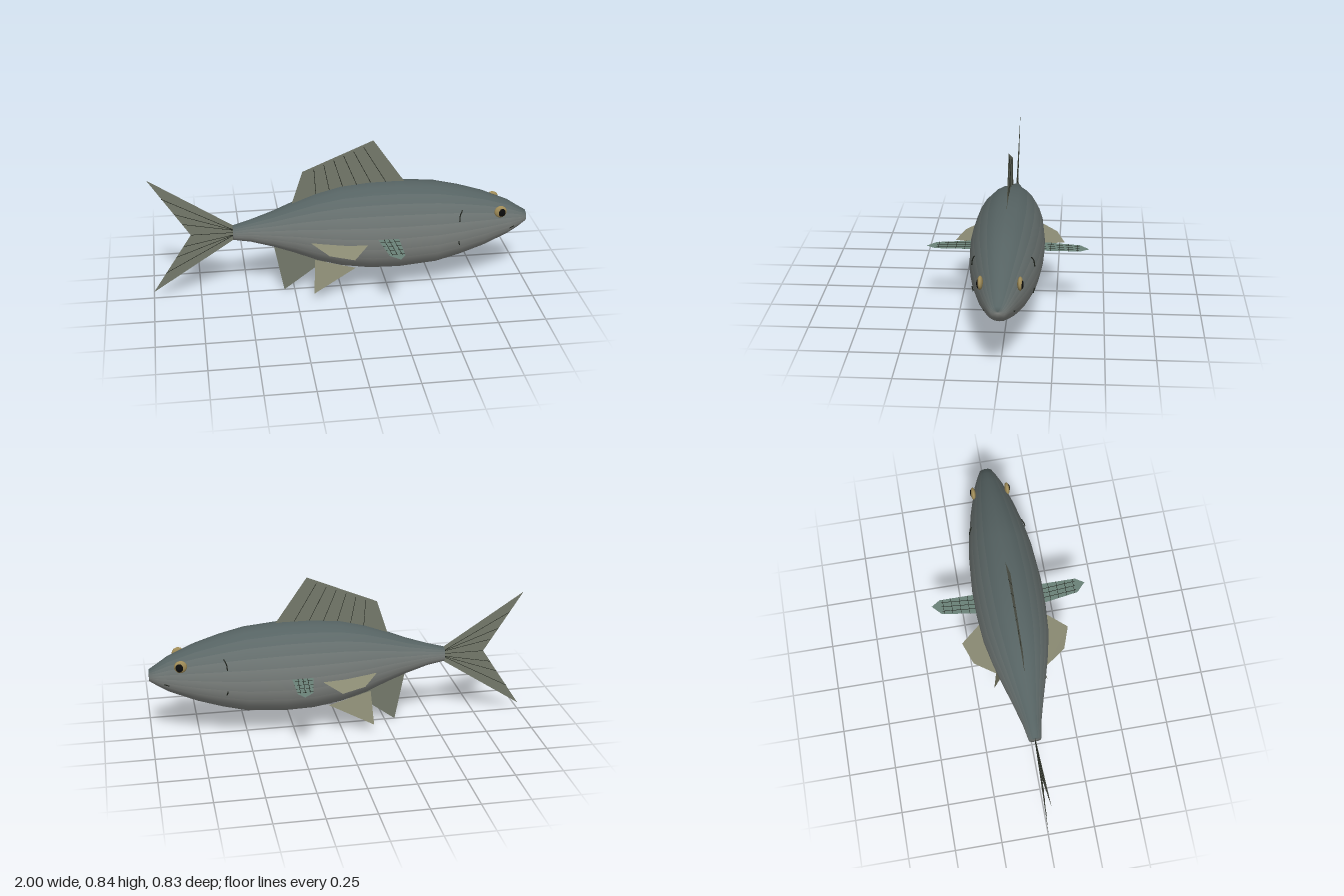
import * as THREE from 'three';

const FIN = 0x74796a, TAN = 0x8b8b74, TEAL = 0x6b8279, DARK = 0x22261f;
const V = (p) => new THREE.Vector3(...p);
const mat = (color, side = THREE.FrontSide) => new THREE.MeshStandardMaterial({ color, side });

// Body sections: x, top y, bottom y, half width
const SECTIONS = [
  [-0.57, 0.40, 0.32, 0.033], [-0.48, 0.425, 0.305, 0.05], [-0.36, 0.465, 0.27, 0.083],
  [-0.25, 0.51, 0.23, 0.115], [-0.13, 0.555, 0.18, 0.148], [0, 0.588, 0.142, 0.175],
  [0.15, 0.602, 0.119, 0.187], [0.3, 0.603, 0.115, 0.189], [0.5, 0.585, 0.13, 0.174],
  [0.63, 0.555, 0.163, 0.152], [0.76, 0.515, 0.205, 0.122], [0.9, 0.455, 0.265, 0.08],
  [0.96, 0.415, 0.302, 0.055], [1, 0.39, 0.33, 0.034],
];

// Lofted body, each lengthwise strip shaded from dark back to pale belly
function makeBody() {
  const N = 24, pos = [], index = [], materials = [];
  const geo = new THREE.BufferGeometry();
  for (const [x, top, bottom, w] of SECTIONS) {
    for (let j = 0; j < N; j++) {
      const a = (j / N) * Math.PI * 2;
      pos.push(x, (top + bottom) / 2 + (top - bottom) / 2 * Math.sin(a), w * Math.cos(a));
    }
  }
  const last = SECTIONS.length - 1, tail = SECTIONS.length * N, nose = tail + 1;
  pos.push(-0.57, 0.36, 0, 1, 0.36, 0);
  const back = new THREE.Color(0x566363), belly = new THREE.Color(0x8d908c);
  for (let j = 0; j < N; j++) {
    const k = (j + 1) % N, start = index.length;
    for (let i = 0; i < last; i++) {
      const a = i * N + j, b = i * N + k;
      index.push(a, a + N, b, b, a + N, b + N);
    }
    index.push(tail, j, k, nose, last * N + k, last * N + j);
    geo.addGroup(start, index.length - start, j);
    const height = Math.sin(((j + 0.5) / N) * Math.PI * 2);
    const t = THREE.MathUtils.clamp(0.6 - height * 0.65, 0, 1);
    materials.push(mat(back.clone().lerp(belly, t)));
  }
  geo.setAttribute('position', new THREE.Float32BufferAttribute(pos, 3));
  geo.setIndex(index);
  geo.computeVertexNormals();
  const mesh = new THREE.Mesh(geo, materials);
  mesh.name = 'body';
  return mesh;
}

// Thin flat membrane, fanned from its first corner
function membrane(name, points, color) {
  const pos = [];
  for (let i = 1; i < points.length - 1; i++) pos.push(...points[0], ...points[i], ...points[i + 1]);
  const geo = new THREE.BufferGeometry();
  geo.setAttribute('position', new THREE.Float32BufferAttribute(pos, 3));
  geo.computeVertexNormals();
  const mesh = new THREE.Mesh(geo, mat(color, THREE.DoubleSide));
  mesh.name = name;
  return mesh;
}

// Slim rod between two points
function rod(name, from, to, radius = 0.002, color = DARK) {
  const a = V(from), b = V(to), dir = b.clone().sub(a);
  const mesh = new THREE.Mesh(new THREE.CylinderGeometry(radius, radius, dir.length(), 5), mat(color));
  mesh.position.copy(a).add(b).multiplyScalar(0.5);
  mesh.quaternion.setFromUnitVectors(new THREE.Vector3(0, 1, 0), dir.normalize());
  mesh.name = name;
  return mesh;
}

function curveLine(name, points) {
  const mesh = new THREE.Mesh(
    new THREE.TubeGeometry(new THREE.CatmullRomCurve3(points.map(V)), 8, 0.003, 5), mat(DARK));
  mesh.name = name;
  return mesh;
}

function ball(name, radius, position, scale, color) {
  const mesh = new THREE.Mesh(new THREE.SphereGeometry(radius, 20, 14), mat(color));
  mesh.position.set(...position);
  mesh.scale.set(...scale);
  mesh.name = name;
  return mesh;
}

export function createModel() {
  const fish = new THREE.Group();
  fish.name = 'fish';
  fish.add(makeBody());

  // Dorsal fin with fanned rays
  const dorsal = new THREE.Group();
  dorsal.name = 'dorsalFin';
  dorsal.add(membrane('dorsalMembrane',
    [[-0.26, 0.50, 0], [-0.2, 0.685, 0], [0.17, 0.84, 0], [0.34, 0.595, 0], [0, 0.57, 0]], FIN));
  for (let i = 0; i < 6; i++) {
    const t = i / 5, x = -0.14 + 0.26 * t;
    dorsal.add(rod('dorsalRay', [-0.13 + 0.37 * t, 0.54 + 0.06 * t, 0], [x, 0.69 + 0.419 * (x + 0.2) - 0.02, 0], 0.0015));
  }
  fish.add(dorsal);

  // Forked tail
  const tail = new THREE.Group();
  tail.name = 'tailFin';
  tail.add(membrane('tailMembrane', [[-0.79, 0.36, 0], [-1, 0.685, 0], [-0.565, 0.40, 0],
    [-0.565, 0.32, 0], [-1, 0.035, 0]], FIN));
  tail.add(rod('tailRay', [-0.56, 0.36, 0], [-0.79, 0.36, 0], 0.0015));
  for (const s of [1, -1]) {
    for (const [x, dy] of [[-0.83, 0.065], [-0.87, 0.125], [-0.93, 0.215]]) {
      tail.add(rod('tailRay', [-0.56, 0.36 + s * 0.012, 0], [x, 0.36 + s * dy, 0], 0.0015));
    }
  }
  fish.add(tail);

  // Anal fin
  fish.add(membrane('analFin', [[-0.36, 0.28, 0], [-0.305, 0, 0], [-0.08, 0.165, 0]], FIN));

  // Paired fins and face, mirrored across the body
  for (const s of [1, -1]) {
    const side = new THREE.Group();
    side.name = s > 0 ? 'rightSideParts' : 'leftSideParts';
    const m = (points) => points.map(([x, y, z]) => [x, y, z * s]);

    side.add(membrane('pelvicFin', m([[-0.15, 0.22, 0.1], [-0.16, 0.045, 0.15], [0.07, 0.145, 0.078]]), TAN));
    side.add(membrane('sideFin', m([[-0.175, 0.337, 0.135], [-0.09, 0.312, 0.245], [0.035, 0.302, 0.288],
      [0.12, 0.327, 0.178]]), TAN));

    // Flat pectoral fin with rim and cross rays
    const rim = m([[0.17, 0.358, 0.18], [0.2, 0.358, 0.37], [0.25, 0.358, 0.417], [0.28, 0.358, 0.37], [0.28, 0.358, 0.18]]);
    side.add(membrane('pectoralFin', rim, TEAL));
    for (const x of [0.2, 0.225, 0.25]) {
      side.add(rod('pectoralRay', [x, 0.358, 0.18 * s], [x + 0.015, 0.358, 0.365 * s], 0.0015));
    }
    for (let i = 0; i < 4; i++) {
      const z = 0.22 + i * 0.045;
      side.add(rod('pectoralCrossRay', [0.17 + (z - 0.18) * 0.16, 0.358, z * s], [0.28, 0.358, z * s], 0.0012));
    }

    // Eye
    side.add(ball('eye', 0.033, [0.84, 0.433, 0.094 * s], [1, 1, 0.42], 0xa08c58));
    side.add(ball('pupil', 0.022, [0.845, 0.431, 0.1 * s], [1, 1.1, 0.5], 0x0c0c0c));

    // Gill marks and mouth corner
    side.add(curveLine('gillMark', m([[0.607, 0.418, 0.153], [0.61, 0.45, 0.148], [0.623, 0.475, 0.136]])));
    side.add(curveLine('lowerGillMark', m([[0.608, 0.305, 0.152], [0.609, 0.293, 0.15], [0.613, 0.28, 0.146]])));
    side.add(curveLine('mouth', m([[0.9, 0.322, 0.073], [0.91, 0.325, 0.07], [0.925, 0.33, 0.067]])));
    fish.add(side);
  }
  return fish;
}
